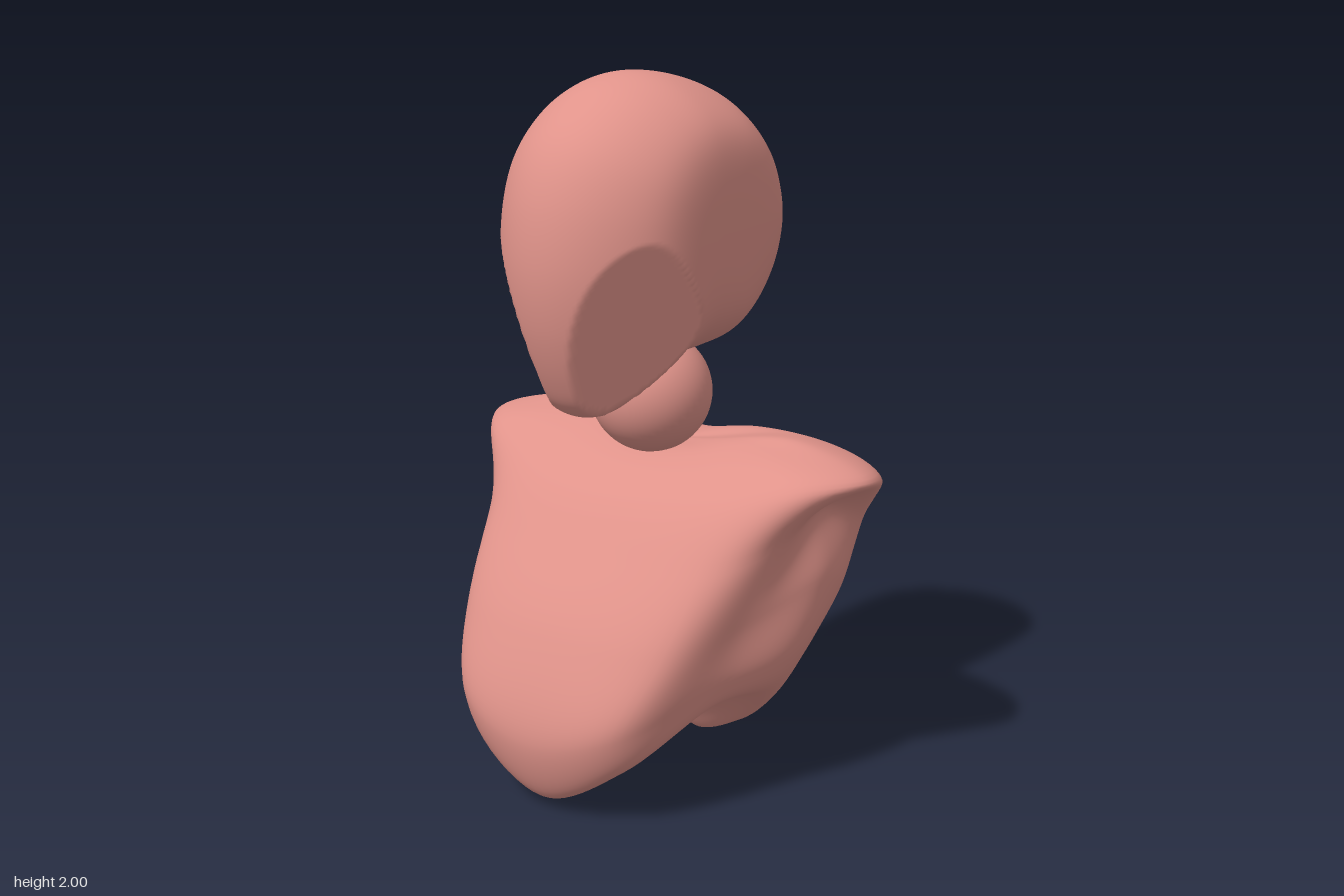
import * as THREE from 'three';
import { mergeVertices } from 'three/addons/utils/BufferGeometryUtils.js';

const V = (x, y, z) => new THREE.Vector3(x, y, z);

// Closed smooth skin: point(u, v), u runs front -> left -> back -> right, v runs top -> bottom
function skin(around, down, column) {
  const pos = [], index = [];
  for (let i = 0; i < around; i++) {
    const at = column(i / around);
    for (let j = 0; j <= down; j++) pos.push(...at(j / down).toArray());
  }
  const id = (i, j) => (i % around) * (down + 1) + j;
  for (let i = 0; i < around; i++) {
    for (let j = 0; j < down; j++) {
      const a = id(i, j), b = id(i, j + 1), c = id(i + 1, j), d = id(i + 1, j + 1);
      if (j > 0) index.push(a, b, c);
      if (j < down - 1) index.push(b, d, c);
    }
  }
  let geo = new THREE.BufferGeometry();
  geo.setAttribute('position', new THREE.Float32BufferAttribute(pos, 3));
  geo.setIndex(index);
  geo = mergeVertices(geo, 1e-5);
  geo.computeVertexNormals();
  return geo;
}

// Torso: profiles running down the body from the top plateau, over the
// shoulder ridge and flank, around the lower rim and into the hollow underside
function torsoGeometry() {
  const front = [[0, .94, -.02], [0, .87, .12], [0, .72, .25], [0, .5, .4], [0, .22, .485], [0, .035, .405], [0, .125, .31]];
  const frontCorner = [[.18, .955, -.06], [.33, .87, .08], [.37, .7, .2], [.35, .5, .325], [.285, .29, .42], [.26, .17, .37], [.17, .2, .275]];
  const sideFront = [[.3, .985, -.14], [.565, .92, -.02], [.5, .76, .01], [.455, .56, .07], [.42, .39, .13], [.385, .32, .12], [.22, .265, .11]];
  const side = [[.4, 1, -.2], [.66, .925, -.18], [.495, .82, -.22], [.52, .63, -.19], [.49, .42, -.11], [.42, .315, -.05], [.22, .265, -.03]];
  const sideBack = [[.36, .985, -.3], [.57, .9, -.36], [.505, .74, -.39], [.46, .54, -.35], [.38, .35, -.28], [.3, .19, -.22], [.2, .22, -.13]];
  const back = [[.18, .975, -.33], [.24, .92, -.43], [.23, .73, -.486], [.2, .46, -.395], [.17, .23, -.378], [.14, .06, -.325], [.1, .14, -.215]];
  const spine = [[0, .95, -.32], [0, .88, -.41], [0, .7, -.455], [0, .42, -.375], [0, .16, -.395], [0, .005, -.31], [0, .1, -.22]];

  const half = [frontCorner, sideFront, side, sideBack, back];
  const mirrored = half.map(p => p.map(([x, y, z]) => [-x, y, z])).reverse();
  const profiles = [front, ...half, spine, ...mirrored];
  const rings = front.map((_, k) => new THREE.CatmullRomCurve3(profiles.map(p => V(...p[k])), true));
  const top = V(0, .95, -.18), under = V(0, .245, .02);

  return skin(120, 90, u => {
    const opposite = (u + .5) % 1;
    // carry the curve across both poles so they stay smooth
    const curve = new THREE.CatmullRomCurve3([
      rings[0].getPoint(opposite), top, ...rings.map(r => r.getPoint(u)), under, rings[6].getPoint(opposite),
    ]);
    return v => v === 0 ? top : v === 1 ? under : curve.getPoint(.1 + .8 * v);
  });
}

// Head: rounded side outline, softly flattened temples and slanted jaw planes
function headGeometry() {
  const outline = [[0, .4], [.14, .375], [.25, .312], [.335, .222], [.39, .095], [.413, -.08], [.395, -.25], [.345, -.4],
    [.3, -.475], [.245, -.507], [.17, -.475], [.09, -.42], [0, -.388], [-.1, -.38], [-.2, -.365], [-.3, -.295],
    [-.39, -.17], [-.43, -.03], [-.42, .08], [-.36, .22], [-.22, .345]];
  const curve = new THREE.CatmullRomCurve3(outline.map(([z, y]) => V(0, y, z)), true);
  const table = curve.getPoints(600).map(p => [Math.atan2(p.z, p.y), Math.hypot(p.y, p.z)]).sort((a, b) => a[0] - b[0]);
  const radius = angle => {
    let lo = 0, hi = table.length - 1;
    while (hi - lo > 1) {
      const mid = (lo + hi) >> 1;
      if (table[mid][0] <= angle) lo = mid; else hi = mid;
    }
    const span = table[hi][0] - table[lo][0];
    const t = span > 1e-9 ? THREE.MathUtils.clamp((angle - table[lo][0]) / span, 0, 1) : 0;
    return table[lo][1] + t * (table[hi][1] - table[lo][1]);
  };
  const jaw = V(.0945, -.036, .0594), jawDistance = .0398, temple = .302, softness = 14;

  return skin(200, 140, u => v => {
    const a = u * Math.PI * 2, b = v * Math.PI;
    const d = V(Math.sin(a) * Math.sin(b), Math.cos(b), Math.cos(a) * Math.sin(b));
    const width = .365 - .045 * d.z;
    const body = Math.hypot(d.x / width, Math.hypot(d.y, d.z) / radius(Math.atan2(d.z, d.y)));
    const rounded = (body ** softness + (Math.abs(d.x) / temple) ** softness) ** (1 / softness);
    const cut = jaw.dot(V(Math.abs(d.x), d.y, d.z)) / jawDistance;
    return d.divideScalar(Math.max(rounded, cut));
  });
}

export function createModel() {
  const group = new THREE.Group();
  const skinMaterial = new THREE.MeshStandardMaterial({ color: 0xe0938a });
  const add = (name, geo, y = 0, z = 0) => {
    const mesh = new THREE.Mesh(geo, skinMaterial);
    mesh.name = name;
    mesh.position.set(0, y, z);
    group.add(mesh);
  };
  add('torso', torsoGeometry());
  add('neckBall', new THREE.SphereGeometry(.173, 48, 32), 1.105, -.067);
  add('head', headGeometry(), 1.6, 0);
  return group;
}
